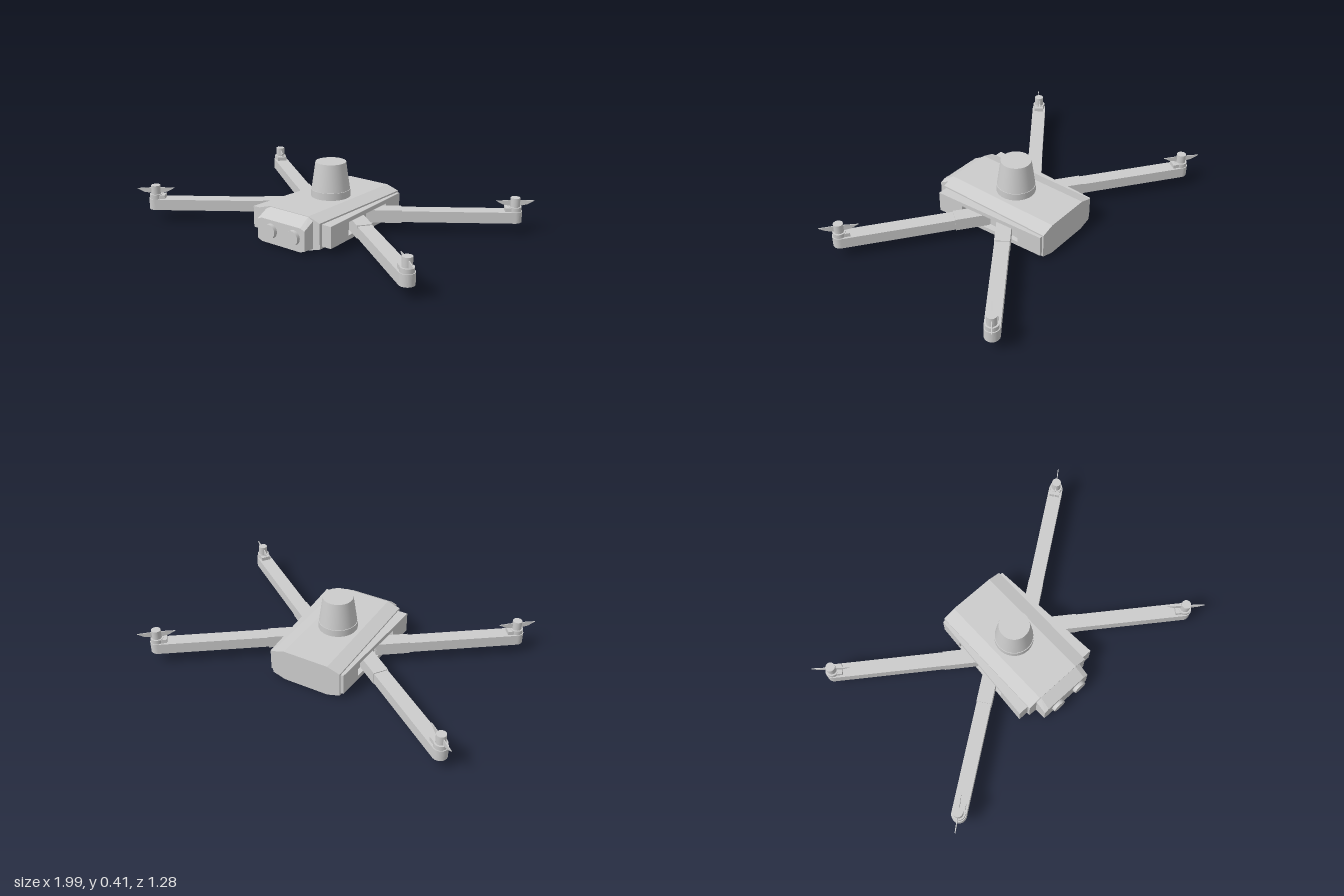
import * as THREE from 'three';
import { ConvexGeometry } from 'three/addons/geometries/ConvexGeometry.js';

const smooth = new THREE.MeshStandardMaterial({ color: 0xcccccc });
const flat = new THREE.MeshStandardMaterial({ color: 0xcccccc, flatShading: true });

function add(parent, name, geometry, material = flat, x = 0, y = 0, z = 0) {
  const mesh = new THREE.Mesh(geometry, material);
  mesh.name = name;
  mesh.position.set(x, y, z);
  parent.add(mesh);
  return mesh;
}

const shapeOf = (points) => new THREE.Shape(points.map(([x, y]) => new THREE.Vector2(x, y)));
const extrude = (shape, depth) =>
  new THREE.ExtrudeGeometry(shape, { depth, bevelEnabled: false, curveSegments: 12 });

// Plan shape (x, -z) raised from y0 to y1
function slab(shape, y0, y1) {
  return extrude(shape, y1 - y0).rotateX(-Math.PI / 2).translate(0, y0, 0);
}

// Chamfered cross-section: half width, bottom, top, chamfer width and height
function section(w, y0, y1, cx, cy) {
  return [
    [-w + cx, y0], [w - cx, y0], [w, y0 + cy], [w, y1 - cy],
    [w - cx, y1], [-w + cx, y1], [-w, y1 - cy], [-w, y0 + cy],
  ];
}

function addHull(model) {
  add(model, 'body', extrude(shapeOf(section(0.222, 0, 0.2, 0.08, 0.025)), 0.755), flat, 0.005, 0, -0.365);

  // Sloping nose
  const points = [];
  for (const [x, y] of section(0.172, 0, 0.2, 0.035, 0.018)) points.push(new THREE.Vector3(x, y, 0.385));
  for (const [x, y] of section(0.172, 0.012, 0.152, 0.03, 0.012)) points.push(new THREE.Vector3(x, y, 0.463));
  add(model, 'nose', new ConvexGeometry(points), flat, 0.008);

  // Twin front lenses
  for (const x of [-0.062, 0.105]) {
    add(model, 'lens', new THREE.CylinderGeometry(0.042, 0.042, 0.04, 32).rotateX(Math.PI / 2), smooth, x, 0.09, 0.465);
  }

  // Tapered turret on a short collar
  const turret = [[0, 0.19], [0.117, 0.19], [0.117, 0.243], [0.113, 0.243], [0.09, 0.405], [0, 0.405]];
  // doubled points keep the rims sharp
  const profile = turret.flatMap(([r, y]) => [new THREE.Vector2(r, y), new THREE.Vector2(r, y)]).slice(1, -1);
  const rings = [];
  for (let i = 0; i < profile.length; i += 2) rings.push([profile[i], profile[i + 1]]);
  for (const pair of rings) {
    add(model, 'turret', new THREE.LatheGeometry(pair, 40), smooth, 0.005, 0, 0.013);
  }
}

// Side pods, wider at the front, with a slot where the arms fold in
function addPods(model) {
  const outer = (z) => 0.24 + ((z + 0.355) / 0.727) * 0.045;
  const strip = (side, z0, z1) => {
    const p = [[0.2, -z0], [0.2, -z1], [outer(z1), -z1], [outer(z0), -z0]];
    return shapeOf(p.map(([x, y]) => [side * x, y]));
  };
  for (const side of [-1, 1]) {
    const pod = new THREE.Group();
    pod.name = side > 0 ? 'leftPod' : 'rightPod';
    pod.position.x = 0.005;
    add(pod, 'lowerRail', slab(strip(side, -0.355, 0.372), 0.038, 0.064));
    add(pod, 'upperRail', slab(strip(side, -0.355, 0.372), 0.142, 0.166));
    add(pod, 'rearBlock', slab(strip(side, -0.355, -0.2), 0.064, 0.142));
    add(pod, 'frontBlock', slab(strip(side, 0.2, 0.372), 0.064, 0.142));
    model.add(pod);
  }
}

// Arm built from its tip, local +x pointing back to the body
function addArm(model, sx, sz) {
  const arm = new THREE.Group();
  arm.name = (sz > 0 ? 'front' : 'rear') + (sx > 0 ? 'Left' : 'Right') + 'Arm';
  const heading = Math.atan2(sz * 0.585, -sx * 0.81);
  arm.position.set(sx * 0.909 - 0.005, 0, sz * 0.565 - 0.005);
  arm.rotation.y = heading;

  const beam = new THREE.Shape();
  beam.moveTo(0, 0.043);
  beam.absarc(0, 0, 0.043, Math.PI / 2, Math.PI * 1.5, false);
  beam.lineTo(0.86, -0.043);
  beam.lineTo(0.86, 0.043);
  add(arm, 'beam', slab(beam, 0.07, 0.136));
  add(arm, 'hingeSleeve', new THREE.BoxGeometry(0.2, 0.076, 0.09), flat, 0.755, 0.103, 0);

  // Motor and hub
  add(arm, 'motorBase', new THREE.CylinderGeometry(0.038, 0.038, 0.03, 24), smooth, 0, 0.147, 0);
  add(arm, 'motorPlate', new THREE.BoxGeometry(0.06, 0.024, 0.06), flat, 0.028, 0.147, 0);
  add(arm, 'motorHub', new THREE.CylinderGeometry(0.028, 0.028, 0.058, 24), smooth, 0, 0.187, 0);

  // Thin upright two-blade propeller
  const blades = shapeOf([
    [-0.112, 0.197], [-0.07, 0.174], [-0.02, 0.165], [0.02, 0.165],
    [0.07, 0.174], [0.112, 0.197], [0.03, 0.201], [-0.03, 0.201],
  ]);
  const propeller = add(arm, 'propeller', extrude(blades, 0.005).translate(0, 0, -0.0025));
  propeller.rotation.y = Math.atan2(sz * 0.072, -sx * 0.086) - heading;
  model.add(arm);
}

export function createModel() {
  const model = new THREE.Group();
  model.name = 'quadcopter';
  addHull(model);
  addPods(model);
  for (const sx of [-1, 1]) for (const sz of [-1, 1]) addArm(model, sx, sz);
  // Reversed winding from mirrored outlines is handled by the shape triangulation
  return model;
}
